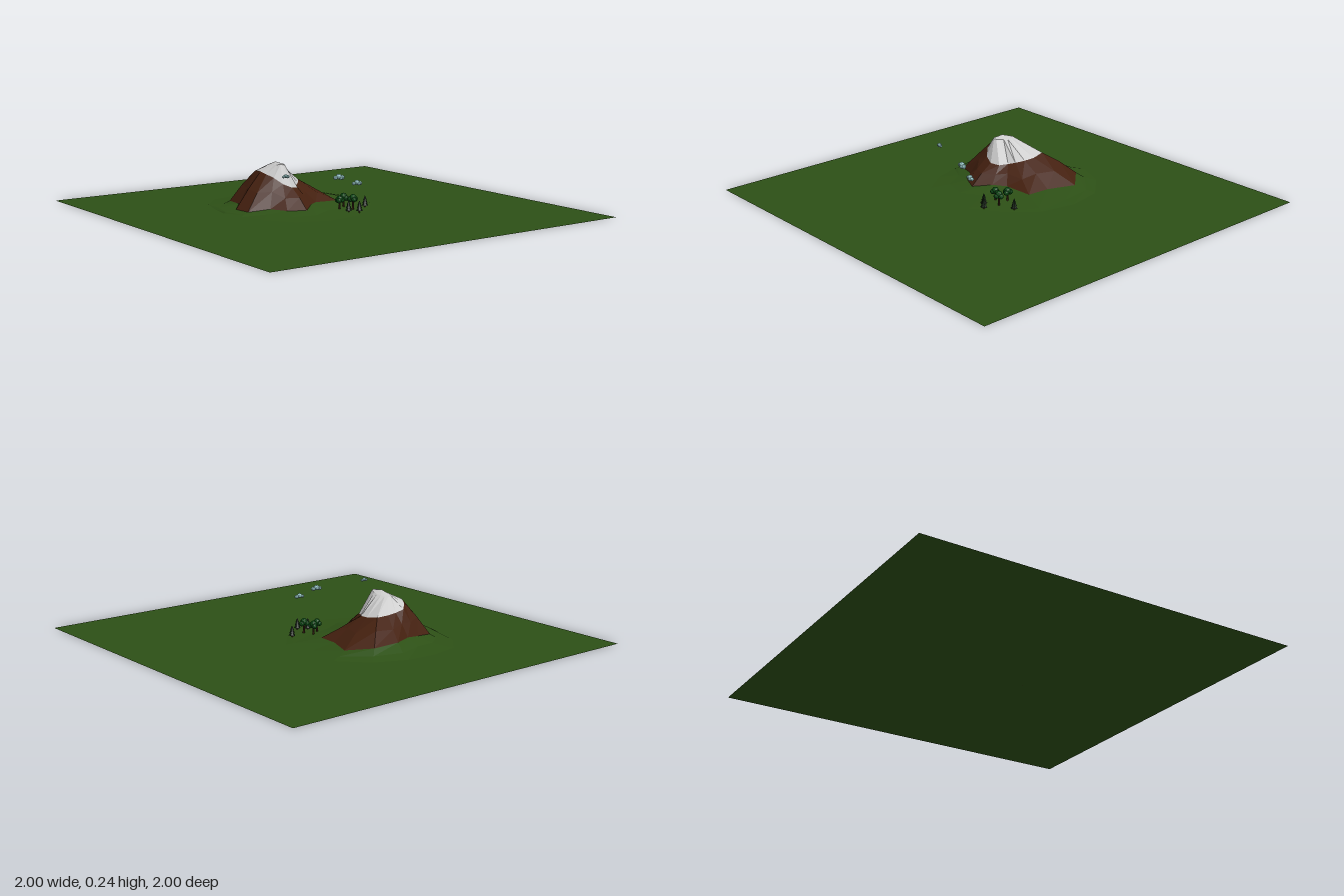
import * as THREE from 'three';

const mat = (color, side = THREE.FrontSide) =>
  new THREE.MeshStandardMaterial({ color, flatShading: true, side });
const GREEN = mat(0x2d5016, THREE.DoubleSide);
const ROCK = mat(0x44200f);
const SNOW = mat(0xcccccc);
const TRUNK = mat(0x3a2212);
const LEAF = mat(0x0b4a14);
const PINE = mat(0x10200e);
const CLOUD = mat(0x8fbdbd);

const N = 16;
const CENTRE = [-0.17, -0.18];

function add(parent, name, geometry, material, x = 0, y = 0, z = 0) {
  const mesh = new THREE.Mesh(geometry, material);
  mesh.name = name;
  mesh.position.set(x, y, z);
  parent.add(mesh);
  return mesh;
}

// Contour ring around the mountain from a radius and a height per direction
function ring(radii, heights) {
  return radii.map((r, k) => {
    const a = (k / N) * Math.PI * 2;
    const y = Array.isArray(heights) ? heights[k] : heights;
    return new THREE.Vector3(CENTRE[0] + r * Math.cos(a), y, CENTRE[1] + r * Math.sin(a));
  });
}

// Skin between contour rings, listed from the outside in
function skin(rings) {
  const pos = [];
  for (let j = 0; j + 1 < rings.length; j++) {
    const o = rings[j], i = rings[j + 1];
    for (let k = 0; k < N; k++) {
      const n = (k + 1) % N;
      for (const p of [o[k], i[k], o[n], o[n], i[k], i[n]]) pos.push(p.x, p.y, p.z);
    }
  }
  const g = new THREE.BufferGeometry();
  g.setAttribute('position', new THREE.Float32BufferAttribute(pos, 3));
  g.computeVertexNormals();
  return g;
}

function mountain() {
  const g = new THREE.Group();
  g.name = 'mountain';
  const outer = ring([0.48, 0.48, 0.46, 0.46, 0.45, 0.42, 0.36, 0.32, 0.32, 0.32, 0.36, 0.4, 0.4, 0.42, 0.45, 0.48], 0.001);
  const foot = ring([0.42, 0.44, 0.34, 0.29, 0.33, 0.32, 0.26, 0.3, 0.31, 0.3, 0.28, 0.29, 0.28, 0.35, 0.39, 0.43],
    [8, 6, 8, 10, 8, 8, 10, 8, 8, 8, 10, 12, 15, 16, 14, 10].map((h) => h / 1000));
  const base = ring([0.29, 0.3, 0.19, 0.195, 0.25, 0.225, 0.2, 0.265, 0.25, 0.2, 0.25, 0.21, 0.21, 0.28, 0.345, 0.37],
    [25, 22, 30, 32, 20, 20, 25, 15, 15, 25, 25, 35, 45, 48, 40, 25].map((h) => h / 1000));
  const snowEdge = ring([0.12, 0.1, 0.09, 0.115, 0.125, 0.12, 0.11, 0.105, 0.105, 0.115, 0.12, 0.13, 0.12, 0.13, 0.17, 0.14],
    [130, 120, 112, 110, 115, 135, 165, 180, 190, 190, 180, 160, 150, 145, 145, 135].map((h) => h / 1000));
  // Rocky shoulder halfway up, with alternating ribs and hollows
  const shoulder = base.map((p, k) => {
    const q = p.clone().lerp(snowEdge[k], 0.5);
    q.y += [0.006, -0.004, 0.008, 0.002][k % 4];
    return q;
  });
  // Narrow summit ridge running front to back
  const crest = base.map((_, k) => {
    const a = (k / N) * Math.PI * 2;
    return new THREE.Vector3(-0.195 + 0.03 * Math.cos(a), 0.22 + 0.008 * Math.sin(a), -0.165 + 0.065 * Math.sin(a));
  });
  const peak = base.map(() => new THREE.Vector3(-0.2, 0.236, -0.16));

  add(g, 'grassySlope', skin([outer, foot, base]), GREEN);
  add(g, 'rockSlope', skin([base, shoulder, snowEdge]), ROCK);
  add(g, 'snowCap', skin([snowEdge, crest, peak]), SNOW);
  return g;
}

// Broadleaf tree with a lumpy crown
function roundTree(x, z, s, turn) {
  const g = new THREE.Group();
  g.name = 'roundTree';
  add(g, 'trunk', new THREE.CylinderGeometry(0.004, 0.006, 0.05, 6), TRUNK, 0, 0.025, 0);
  for (const [px, py, pz, r] of [[0, 0.06, 0, 0.018], [0.013, 0.052, 0.006, 0.014],
    [-0.013, 0.052, 0.004, 0.014], [0, 0.052, -0.014, 0.013]])
    add(g, 'crown', new THREE.IcosahedronGeometry(r, 1), LEAF, px, py, pz);
  g.position.set(x, 0.002, z);
  g.rotation.y = turn;
  g.scale.setScalar(s);
  return g;
}

// Conifer with three stacked tiers
function pineTree(x, z, s) {
  const g = new THREE.Group();
  g.name = 'pineTree';
  add(g, 'trunk', new THREE.CylinderGeometry(0.003, 0.004, 0.02, 6), TRUNK, 0, 0.01, 0);
  for (let i = 0; i < 3; i++)
    add(g, 'tier', new THREE.ConeGeometry(0.018 - i * 0.004, 0.026, 6), PINE, 0, 0.026 + i * 0.014, 0);
  g.position.set(x, 0, z);
  g.scale.setScalar(s);
  return g;
}

// Cloud of overlapping puffs, flattened
function cloud(x, y, z, s) {
  const g = new THREE.Group();
  g.name = 'cloud';
  for (const [px, py, pz, r] of [[0, 0.004, 0, 0.015], [-0.018, -0.001, -0.003, 0.011],
    [0.018, -0.001, 0.003, 0.012], [0.007, -0.002, 0.008, 0.011]])
    add(g, 'puff', new THREE.IcosahedronGeometry(r, 1), CLOUD, px, py, pz).scale.y = 0.9;
  g.position.set(x, y, z);
  g.scale.setScalar(s);
  return g;
}

export function createModel() {
  const model = new THREE.Group();
  model.name = 'mountainLandscape';
  add(model, 'ground', new THREE.PlaneGeometry(2, 2).rotateX(-Math.PI / 2), GREEN);
  model.add(mountain());

  const woods = new THREE.Group();
  woods.name = 'woods';
  woods.add(roundTree(0.02, 0.08, 0.95, 0.4), roundTree(0.07, 0.045, 1, 1.7), roundTree(0.08, 0.11, 1.02, 2.9));
  woods.add(pineTree(0.02, 0.155, 0.95), pineTree(0.06, 0.19, 0.95), pineTree(0.17, 0.09, 0.95));
  model.add(woods);

  const clouds = new THREE.Group();
  clouds.name = 'clouds';
  clouds.add(cloud(-0.34, 0.212, 0.14, 0.65), cloud(-0.08, 0.193, 0.21, 1), cloud(0.01, 0.16, 0.235, 0.9));
  model.add(clouds);
  return model;
}
